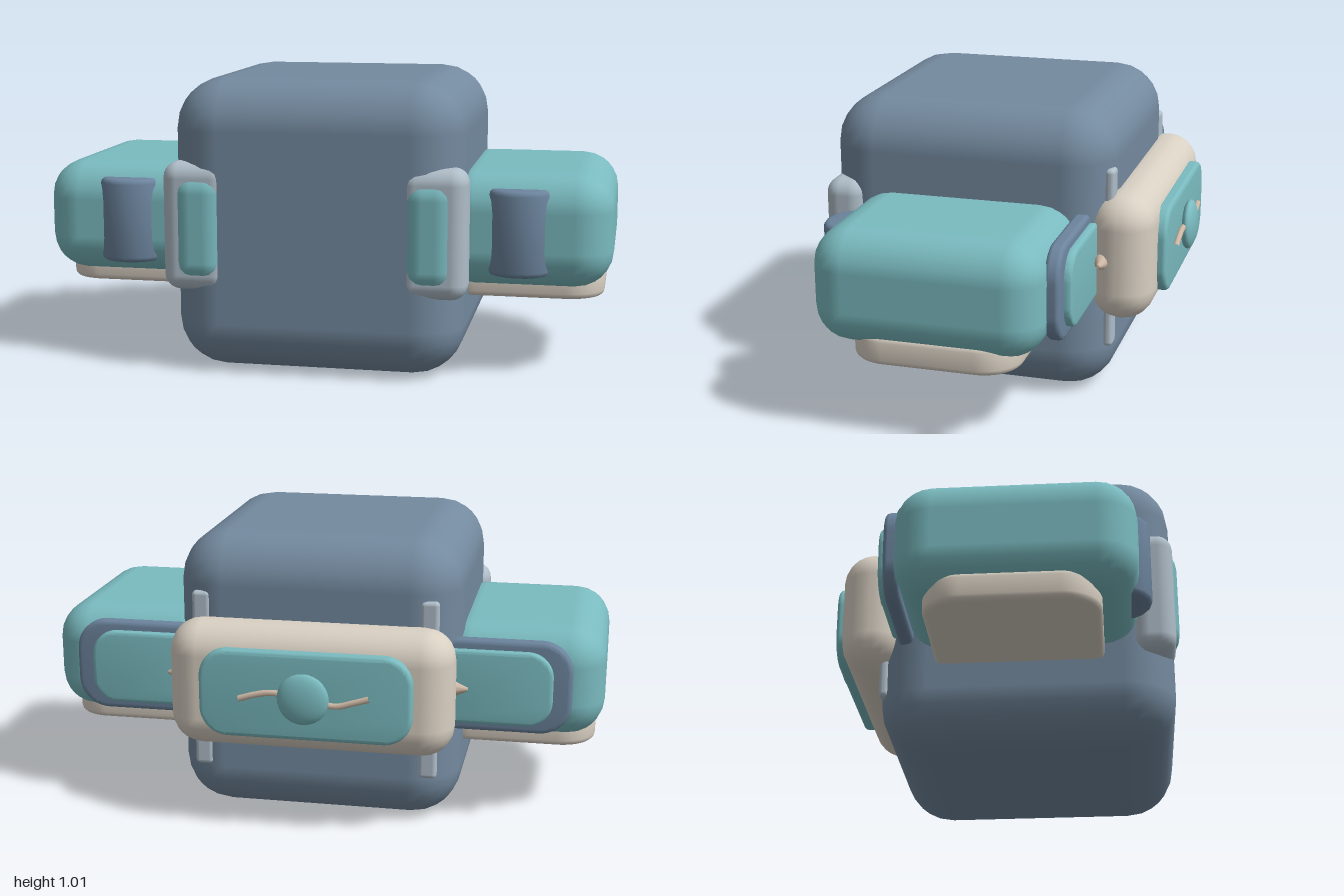
import * as THREE from 'three';
import { toCreasedNormals } from 'three/addons/utils/BufferGeometryUtils.js';
import { RoundedBoxGeometry } from 'three/addons/geometries/RoundedBoxGeometry.js';

const material = (name, color) => {
  const m = new THREE.MeshStandardMaterial({ color });
  m.name = name;
  return m;
};

// Rounded block given by its limits on each axis
function block([x0, x1], [y0, y1], [z0, z1], r, segments = 3) {
  const g = new RoundedBoxGeometry(x1 - x0, y1 - y0, z1 - z0, segments, r);
  return g.translate((x0 + x1) / 2, (y0 + y1) / 2, (z0 + z1) / 2);
}

// Bevelled extrusion, centred on its depth; the bevel stays inside the outline
function slab(shape, depth, bevel) {
  const g = new THREE.ExtrudeGeometry(shape, {
    depth: depth - 2 * bevel, curveSegments: 8,
    bevelThickness: bevel, bevelSize: bevel, bevelOffset: -bevel, bevelSegments: 3,
  });
  g.translate(0, 0, bevel - depth / 2);
  return toCreasedNormals(g, 0.7);
}

function roundedRect(w, h, r) {
  const s = new THREE.Shape();
  const x = w / 2, y = h / 2;
  s.moveTo(-x + r, -y);
  s.lineTo(x - r, -y);
  s.absarc(x - r, -y + r, r, -Math.PI / 2, 0);
  s.lineTo(x, y - r);
  s.absarc(x - r, y - r, r, 0, Math.PI / 2);
  s.lineTo(-x + r, y);
  s.absarc(-x + r, y - r, r, Math.PI / 2, Math.PI);
  s.lineTo(-x, -y + r);
  s.absarc(-x + r, -y + r, r, Math.PI, Math.PI * 1.5);
  return s;
}

export function createModel() {
  const model = new THREE.Group();
  model.name = 'model';
  const slate = material('slate', 0x748a9f);
  const blue = material('slate blue', 0x6c849d);
  const teal = material('teal', 0x7abbc0);
  const cream = material('cream', 0xd9d0c3);
  const silver = material('silver', 0xb0bec9);
  const tan = material('tan', 0xcdb8a5);

  const add = (name, geometry, mat, parent = model) => {
    const mesh = new THREE.Mesh(geometry, mat);
    mesh.name = name;
    parent.add(mesh);
    return mesh;
  };

  // Main body
  add('body', block([-0.505, 0.505], [0, 1.015], [-0.41, 0.605], 0.175), slate);

  // Back pack with its panel, knob and wavy cord
  add('backPack', block([-0.5, 0.5], [0.285, 0.735], [-0.55, -0.32], 0.112), cream);
  add('backPanel', slab(roundedRect(0.74, 0.31, 0.1), 0.05, 0.015), teal)
    .position.set(0, 0.51, -0.555);
  const knob = add('knob', new THREE.SphereGeometry(1, 24, 14), teal);
  knob.scale.set(0.09, 0.09, 0.029);
  knob.position.set(0, 0.51, -0.596);
  const cordPath = new THREE.CatmullRomCurve3([
    [-0.225, 0.522], [-0.17, 0.505], [-0.11, 0.49], [0, 0.51],
    [0.11, 0.525], [0.17, 0.515], [0.225, 0.498],
  ].map(([x, y]) => new THREE.Vector3(x, y, -0.588)));
  add('cord', new THREE.TubeGeometry(cordPath, 40, 0.011, 8), tan);

  for (const s of [-1, 1]) {
    const side = new THREE.Group();
    side.name = s > 0 ? 'leftSide' : 'rightSide';
    model.add(side);
    const span = (a, b) => (s > 0 ? [a, b] : [-b, -a]);

    // Side pod and the plate under it
    add('sidePod', block(span(0.4, 1), [0.31, 0.705], [-0.3, 0.488], 0.13), teal, side);
    const base = add('podBase', slab(roundedRect(0.57, 0.575, 0.13), 0.1, 0.02), cream, side);
    base.rotation.x = -Math.PI / 2;
    base.position.set(s * 0.685, 0.31, 0.08);

    // Rounded strap on the front of the pod
    const oval = new THREE.Shape();
    oval.absellipse(0, 0, 0.108, 0.092, 0, Math.PI * 2);
    const strap = add('podStrap', slab(oval, 0.295, 0.018), blue, side);
    strap.rotation.x = -Math.PI / 2;
    strap.position.set(s * 0.685, 0.508, 0.438);

    // Layered plates on the back of the pod
    add('podBackPlate', slab(roundedRect(0.5, 0.33, 0.11), 0.052, 0.016), blue, side)
      .position.set(s * 0.64, 0.51, -0.31);
    add('podBackPanel', slab(roundedRect(0.43, 0.265, 0.09), 0.05, 0.012), teal, side)
      .position.set(s * 0.61, 0.51, -0.336);

    // Corner clamp with its button
    add('clamp', block(span(0.295, 0.525), [0.288, 0.733], [0.465, 0.611], 0.055), silver, side);
    add('clampButton', block(span(0.305, 0.49), [0.318, 0.698], [0.48, 0.625], 0.07), teal, side);

    // Upright strip on the back corner of the body
    add('backStrip', block(span(0.37, 0.435), [0.18, 0.82], [-0.409, -0.375], 0.015), silver, side);

    // Small peg on the end of the pack
    const peg = add('packPeg', new THREE.CylinderGeometry(0.006, 0.028, 0.05, 10), tan, side);
    peg.rotation.z = -s * Math.PI / 2;
    peg.position.set(s * 0.51, 0.51, -0.38);
  }
  return model;
}
